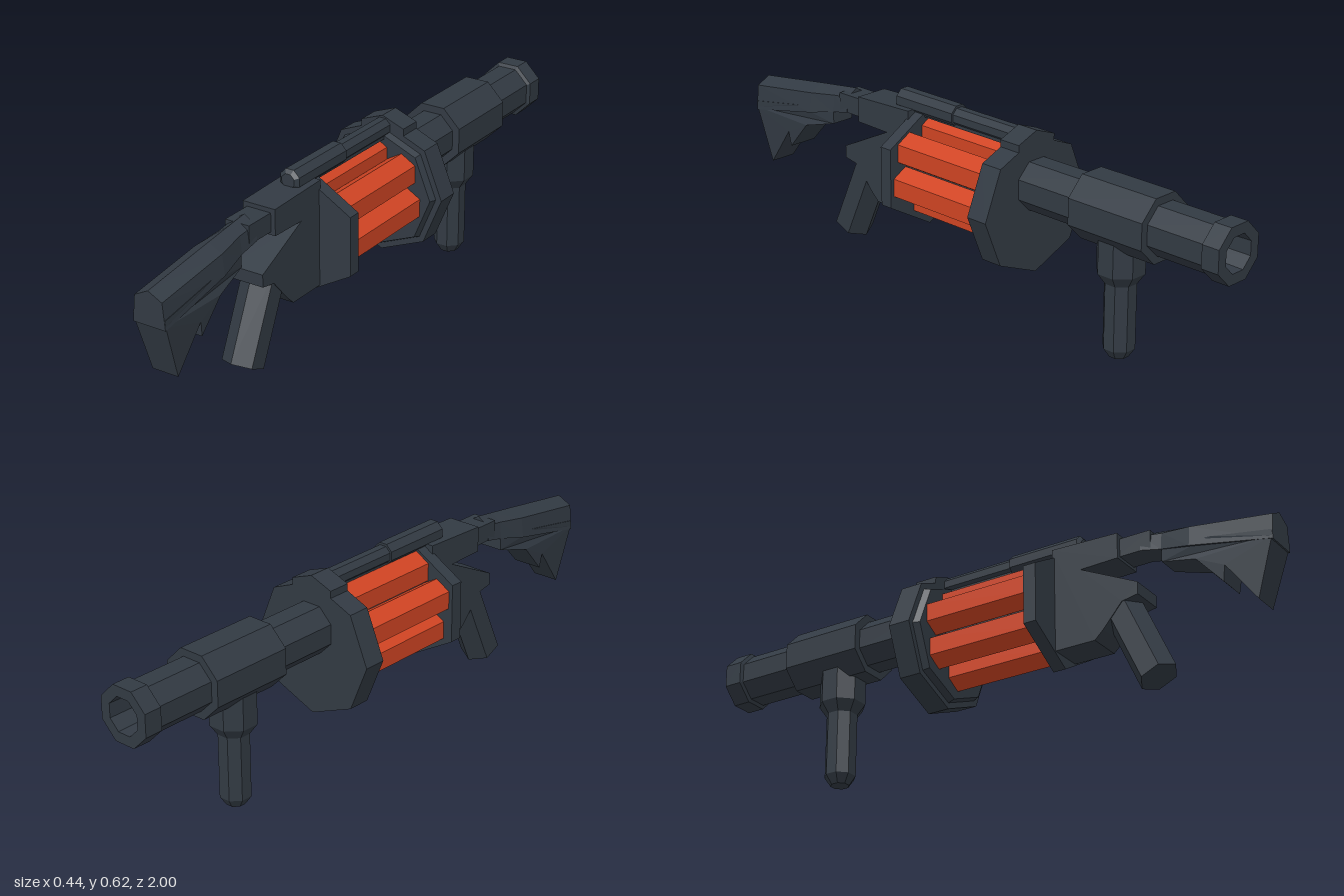
import * as THREE from 'three';

const gunmetal = new THREE.MeshStandardMaterial({ color: 0x323a43, flatShading: true, side: THREE.DoubleSide });
const orange = new THREE.MeshStandardMaterial({ color: 0xd04423, flatShading: true, side: THREE.DoubleSide });

export function createModel() {
  const model = new THREE.Group();
  const add = (name, geometry, material = gunmetal) => {
    const mesh = new THREE.Mesh(geometry, material);
    mesh.name = name;
    model.add(mesh);
    return mesh;
  };

  // Prism along z between z0 and z1, first vertex pointing down
  const rod = (r0, r1, z0, z1, sides, x, y, turn = 0) =>
    new THREE.CylinderGeometry(r1, r0, z1 - z0, sides, 1, false, turn)
      .rotateX(Math.PI / 2).translate(x, y, (z0 + z1) / 2);

  // Side outline given as [z, y], extruded across x
  const slab = (outline, width) => {
    const shape = new THREE.Shape(outline.map(([z, y]) => new THREE.Vector2(z, y)));
    return new THREE.ExtrudeGeometry(shape, { depth: width, bevelEnabled: false })
      .rotateY(-Math.PI / 2).translate(width / 2, 0, 0);
  };

  // Closed loft through sections of [x, y, z], ordered towards +z
  const loft = (sections) => {
    const out = [], n = sections[0].length, last = sections[sections.length - 1];
    const tri = (...p) => p.forEach((v) => out.push(...v));
    for (let s = 0; s + 1 < sections.length; s++) {
      for (let i = 0; i < n; i++) {
        const j = (i + 1) % n, a = sections[s], b = sections[s + 1];
        tri(a[i], a[j], b[j]);
        tri(a[i], b[j], b[i]);
      }
    }
    for (let i = 1; i + 1 < n; i++) {
      tri(last[0], last[i], last[i + 1]);
      tri(sections[0][0], sections[0][i + 1], sections[0][i]);
    }
    const g = new THREE.BufferGeometry();
    g.setAttribute('position', new THREE.Float32BufferAttribute(out, 3));
    g.computeVertexNormals();
    return g;
  };

  // Revolving magazine: six hexagonal chambers around an axle
  for (let i = 0; i < 6; i++) {
    const a = (40 + i * 60) * Math.PI / 180;
    add('chamber', rod(0.058, 0.058, -0.145, 0.23, 6, 0.11 * Math.cos(a), 0.393 + 0.11 * Math.sin(a)), orange);
  }
  add('axle', rod(0.06, 0.06, -0.15, 0.24, 6, 0, 0.39));

  // Plates holding the magazine
  add('rearPlate', rod(0.193, 0.193, 0.225, 0.268, 6, 0, 0.387));
  add('frontPlate', rod(0.218, 0.218, -0.235, -0.16, 8, 0, 0.385));
  add('frontPlateRim', rod(0.198, 0.19, -0.16, -0.138, 8, 0, 0.385));

  // Peaked mount on top of the front plate
  const mount = [[-0.077, 0.54], [0.077, 0.54], [0.077, 0.594], [0, 0.623], [-0.077, 0.594]];
  add('railMount', loft([-0.235, -0.16].map((z) => mount.map(([x, y]) => [x, y, z]))));

  // Top rail
  add('railRear', rod(0.037, 0.037, 0.09, 0.335, 8, 0, 0.588, Math.PI / 8));
  add('railFront', rod(0.031, 0.031, -0.17, 0.09, 8, 0, 0.586, Math.PI / 8));
  add('railTip', rod(0.037, 0.024, 0.335, 0.345, 8, 0, 0.588, Math.PI / 8));
  add('railBase', new THREE.BoxGeometry(0.04, 0.022, 0.5).translate(0, 0.566, 0.085));

  // Hollow stepped barrel
  const c = Math.cos(Math.PI / 8);
  const barrel = [[0, 0.2], [0.077, 0.2], [0.077, 0.455], [0.101, 0.455], [0.101, 0.735], [0.077, 0.735],
    [0.077, 0.935], [0.088, 0.94], [0.088, 1], [0.055, 1], [0.05, 0.8], [0, 0.8]];
  add('barrel', new THREE.LatheGeometry(barrel.map(([r, d]) => new THREE.Vector2(r / c, d)), 8, Math.PI / 8)
    .rotateX(-Math.PI / 2).translate(0, 0.454, 0));

  // Vertical foregrip
  const foregrip = [[0, 0], [0.028, 0], [0.047, 0.03], [0.047, 0.24], [0.07, 0.275], [0.07, 0.39], [0, 0.39]];
  add('foregrip', new THREE.LatheGeometry(foregrip.map(([r, y]) => new THREE.Vector2(r / c, y)), 8, Math.PI / 8)
    .translate(0, 0, -0.576));

  // Receiver
  add('receiver', slab([[0.26, 0.575], [0.26, 0.232], [0.405, 0.232], [0.435, 0.26], [0.5, 0.335],
    [0.555, 0.345], [0.555, 0.385], [0.36, 0.48], [0.49, 0.483], [0.49, 0.567]], 0.114));

  // Slanted hexagonal pistol grip
  const gripTop = new THREE.Vector3(0, 0.36, 0.463), gripEnd = new THREE.Vector3(0, 0.09, 0.585);
  const grip = add('pistolGrip', new THREE.CylinderGeometry(0.063, 0.063, gripTop.distanceTo(gripEnd), 6));
  grip.position.copy(gripTop).add(gripEnd).multiplyScalar(0.5);
  grip.rotation.x = -Math.atan2(gripEnd.z - gripTop.z, gripTop.y - gripEnd.y);

  // Shoulder stock: connector, peaked comb and toothed butt
  add('stockConnector', new THREE.BoxGeometry(0.084, 0.06, 0.12).translate(0, 0.523, 0.535));
  const comb = [[0.56, 0.044, 0.567, 0.493], [0.63, 0.042, 0.558, 0.478], [0.73, 0.056, 0.545, 0.455], [1, 0.056, 0.508, 0.4]];
  add('stockComb', loft(comb.map(([z, w, top, low]) =>
    [[-w, low, z], [w, low, z], [w * 0.85, top - 0.024, z], [0, top, z], [-w * 0.85, top - 0.024, z]])));
  const butt = slab([[1, 0.43], [0.997, 0.41], [0.94, 0.228], [0.842, 0.36], [0.835, 0.31], [0.75, 0.405],
    [0.63, 0.437], [0.63, 0.49], [0.8, 0.465]], 0.11);
  const p = butt.attributes.position;
  for (let i = 0; i < p.count; i++) {
    const taper = Math.min(1, 0.82 + (p.getY(i) - 0.228) * 1.2, 0.72 + Math.max(0, p.getZ(i) - 0.63) * 2.5);
    p.setX(i, p.getX(i) * taper);
  }
  add('stockButt', butt);

  return model;
}
